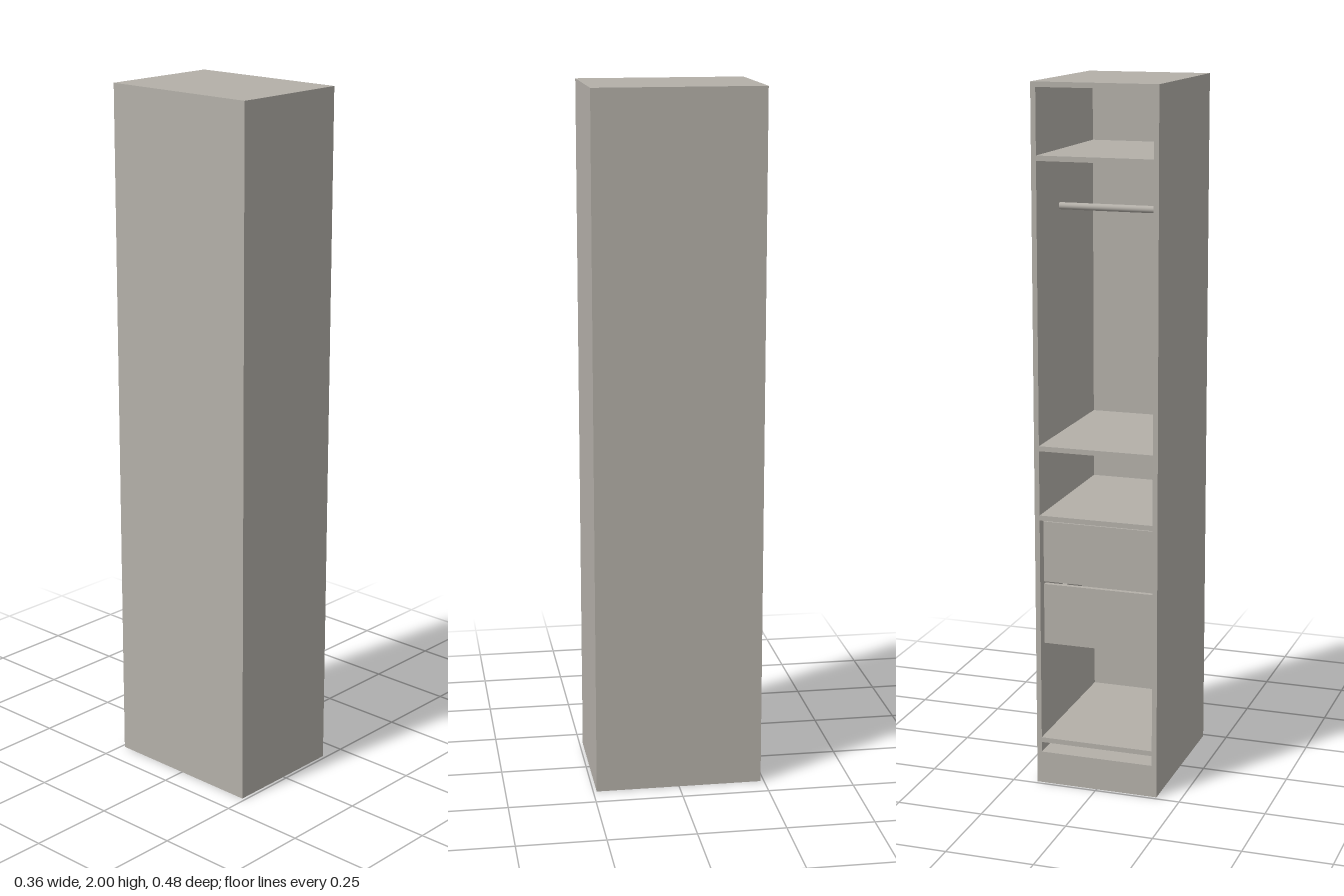
import * as THREE from 'three';

// Tall narrow wardrobe, closed panel at +z, open side at -z
export function createModel() {
  const group = new THREE.Group();
  const grey = new THREE.MeshStandardMaterial({ color: 0xb3afa8 });
  grey.name = 'warm grey';

  const W = 0.36, H = 2, D = 0.48, T = 0.0144;
  const inner = W - 2 * T;
  const open = -D / 2;

  // Box given by its size, its base height and its z range
  function board(name, width, x, y0, y1, z0, z1, parent = group) {
    const mesh = new THREE.Mesh(new THREE.BoxGeometry(width, y1 - y0, z1 - z0), grey);
    mesh.position.set(x, (y0 + y1) / 2, (z0 + z1) / 2);
    mesh.name = name;
    parent.add(mesh);
    return mesh;
  }

  // Carcass
  const baseTop = 0.094;
  const panelZ = D / 2 - T;
  board('base', W, 0, 0, baseTop, open, D / 2);
  board('topPanel', W, 0, H - T, H, open, D / 2);
  board('closedPanel', W, 0, baseTop, H - T, panelZ, D / 2);
  for (const [name, s] of [['leftSide', 1], ['rightSide', -1]]) {
    board(name, T, s * (W - T) / 2, baseTop, H - T, open, panelZ);
  }

  // Shelves, given by their top surface
  for (const y of [0.138, 0.801, 1.001, 1.804]) {
    board('shelf', inner, 0, y - T, y, open, panelZ);
  }

  // Hanging rod
  const rod = new THREE.Mesh(new THREE.CylinderGeometry(0.01, 0.01, inner, 20), grey);
  rod.rotation.z = Math.PI / 2;
  rod.position.set(0, 1.647, -0.055);
  rod.name = 'hangingRod';
  group.add(rod);

  // Drawers: a front plate with a narrower open tray behind it
  const face = open + 0.022, trayEnd = open + 0.285, trayW = inner - 0.028;
  for (const y of [0.418, 0.602]) {
    const drawer = new THREE.Group();
    drawer.name = 'drawer';
    const z = face + T, y0 = y + 0.012, y1 = y + 0.14;
    board('drawerFront', inner - 0.006, 0, y, y + 0.176, face, z, drawer);
    board('drawerBottom', trayW, 0, y0, y0 + 0.01, z, trayEnd, drawer);
    board('drawerEnd', trayW, 0, y0 + 0.01, y1, trayEnd - T, trayEnd, drawer);
    for (const s of [-1, 1]) {
      board('drawerSide', T, s * (trayW - T) / 2, y0 + 0.01, y1, z, trayEnd - T, drawer);
    }
    group.add(drawer);
  }
  return group;
}
